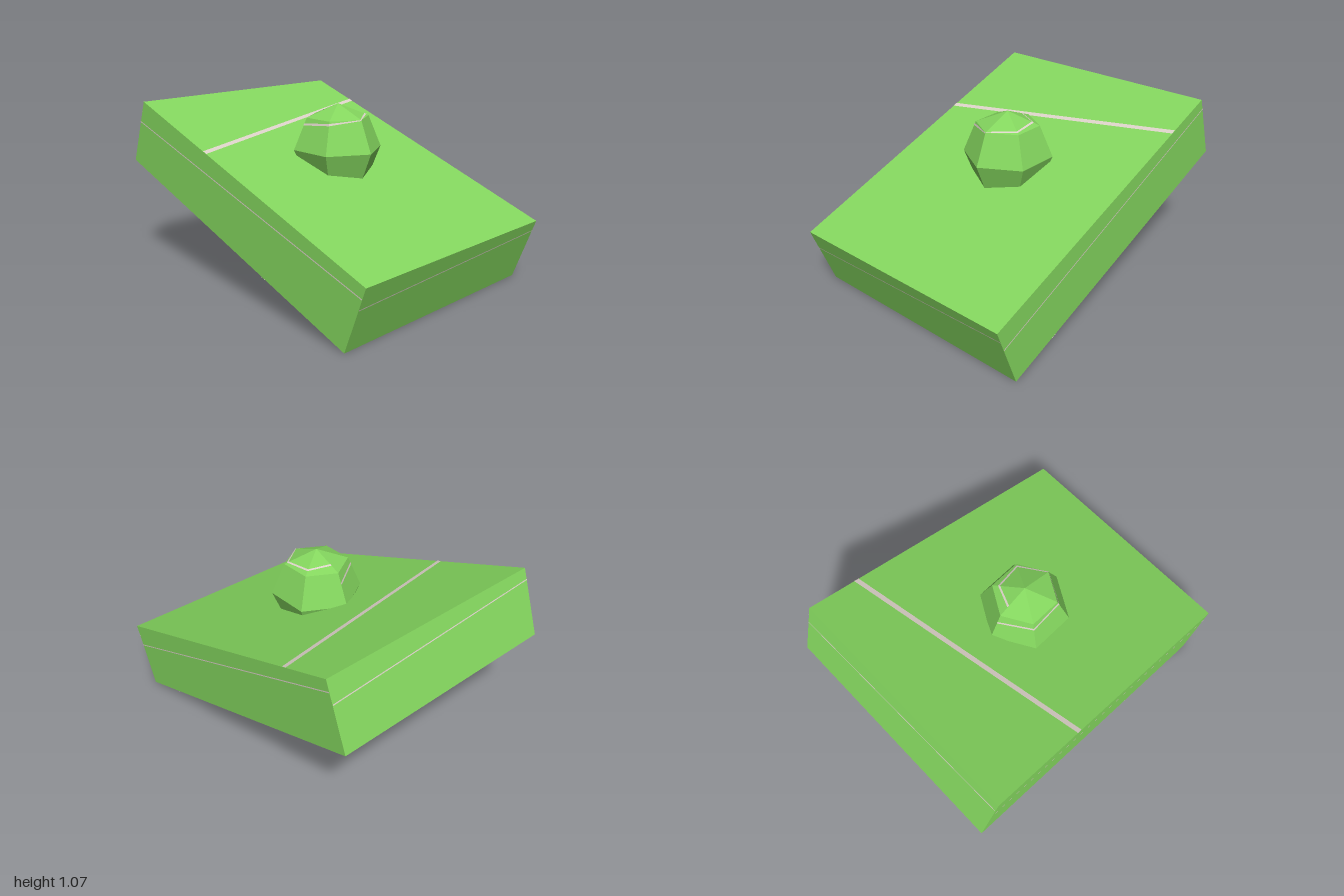
import * as THREE from 'three';

const W = 1.5, H = 0.41, L = 1.979; // slab size
const R = 0.27, SIDES = 6, RINGS = 4; // boulder
const LIFT = 0.002; // stripe height above the surface
const HALF = 0.008; // half stripe thickness, as a share of the face

// The stripe climbs from 0.67 to 0.833 of the height along each surface.
const rise = (u) => 0.67 + 0.163 * u;

// Flat quads from lists of four corners (counter-clockwise)
function quads(list) {
  const pos = [];
  for (const [a, b, c, d] of list) {
    for (const p of [a, b, c, a, c, d]) pos.push(p.x, p.y, p.z);
  }
  const g = new THREE.BufferGeometry();
  g.setAttribute('position', new THREE.Float32BufferAttribute(pos, 3));
  g.computeVertexNormals();
  return g;
}

// One stripe across each face of the slab
function slabStripes() {
  const size = new THREE.Vector3(W, H, L);
  const V = (x, y, z) => new THREE.Vector3(x, y, z);
  const faces = [ // right axis, up axis
    [V(1, 0, 0), V(0, 1, 0)], [V(-1, 0, 0), V(0, 1, 0)],
    [V(0, 0, -1), V(0, 1, 0)], [V(0, 0, 1), V(0, 1, 0)],
    [V(1, 0, 0), V(0, 0, -1)], [V(1, 0, 0), V(0, 0, 1)],
  ];
  return quads(faces.map(([right, up]) => {
    const n = right.clone().cross(up);
    const at = (u, v) => right.clone().multiplyScalar(u - 0.5)
      .addScaledVector(up, v - 0.5).addScaledVector(n, 0.5)
      .multiply(size).addScaledVector(n, LIFT);
    return [at(0, rise(0) - HALF), at(1, rise(1) - HALF),
      at(1, rise(1) + HALF), at(0, rise(0) + HALF)];
  }));
}

// A stripe winding once around the boulder, flat on each facet
function boulderStripe() {
  const ringPoint = (i, k) => {
    const a = (i / SIDES) * Math.PI * 2, t = (k / RINGS) * Math.PI;
    return new THREE.Vector3(-Math.cos(a) * Math.sin(t), Math.cos(t), Math.sin(a) * Math.sin(t))
      .multiplyScalar(R + LIFT);
  };
  const list = [];
  for (let i = 0; i < SIDES; i++) {
    const k = i < SIDES / 2 ? 1 : 0; // upper band, then cap
    const top = 1 - k / RINGS, bottom = top - 1 / RINGS;
    const at = (j, v) => {
      const s = THREE.MathUtils.clamp((v - bottom) / (top - bottom), 0, 1);
      return ringPoint(j, k + 1).lerp(ringPoint(j, k), s);
    };
    const v0 = rise(i / SIDES), v1 = rise((i + 1) / SIDES);
    list.push([at(i, v0 - HALF), at(i + 1, v1 - HALF), at(i + 1, v1 + HALF), at(i, v0 + HALF)]);
  }
  return quads(list);
}

export function createModel() {
  const green = new THREE.MeshStandardMaterial({ color: 0x84d65e, flatShading: true });
  green.name = 'grassGreen';
  const pale = new THREE.MeshStandardMaterial({ color: 0xdcd2c8, side: THREE.DoubleSide });
  pale.name = 'paleStripe';

  const model = new THREE.Group();
  model.name = 'slopeWithBoulder';
  const add = (parent, name, geometry, material) => {
    const mesh = new THREE.Mesh(geometry, material);
    mesh.name = name;
    parent.add(mesh);
  };

  // Tilted slab, low at the front
  const slope = new THREE.Group();
  slope.name = 'slope';
  slope.position.y = 0.532;
  slope.rotation.x = THREE.MathUtils.degToRad(20);
  add(slope, 'slab', new THREE.BoxGeometry(W, H, L), green);
  add(slope, 'slabStripes', slabStripes(), pale);

  // Faceted boulder sunk into the slope
  const boulder = new THREE.Group();
  boulder.name = 'boulder';
  boulder.position.set(0, 0.805, 0.067);
  boulder.rotation.y = -Math.PI / 2;
  add(boulder, 'boulderBody', new THREE.SphereGeometry(R, SIDES, RINGS), green);
  add(boulder, 'boulderStripe', boulderStripe(), pale);

  model.add(slope, boulder);
  return model;
}
